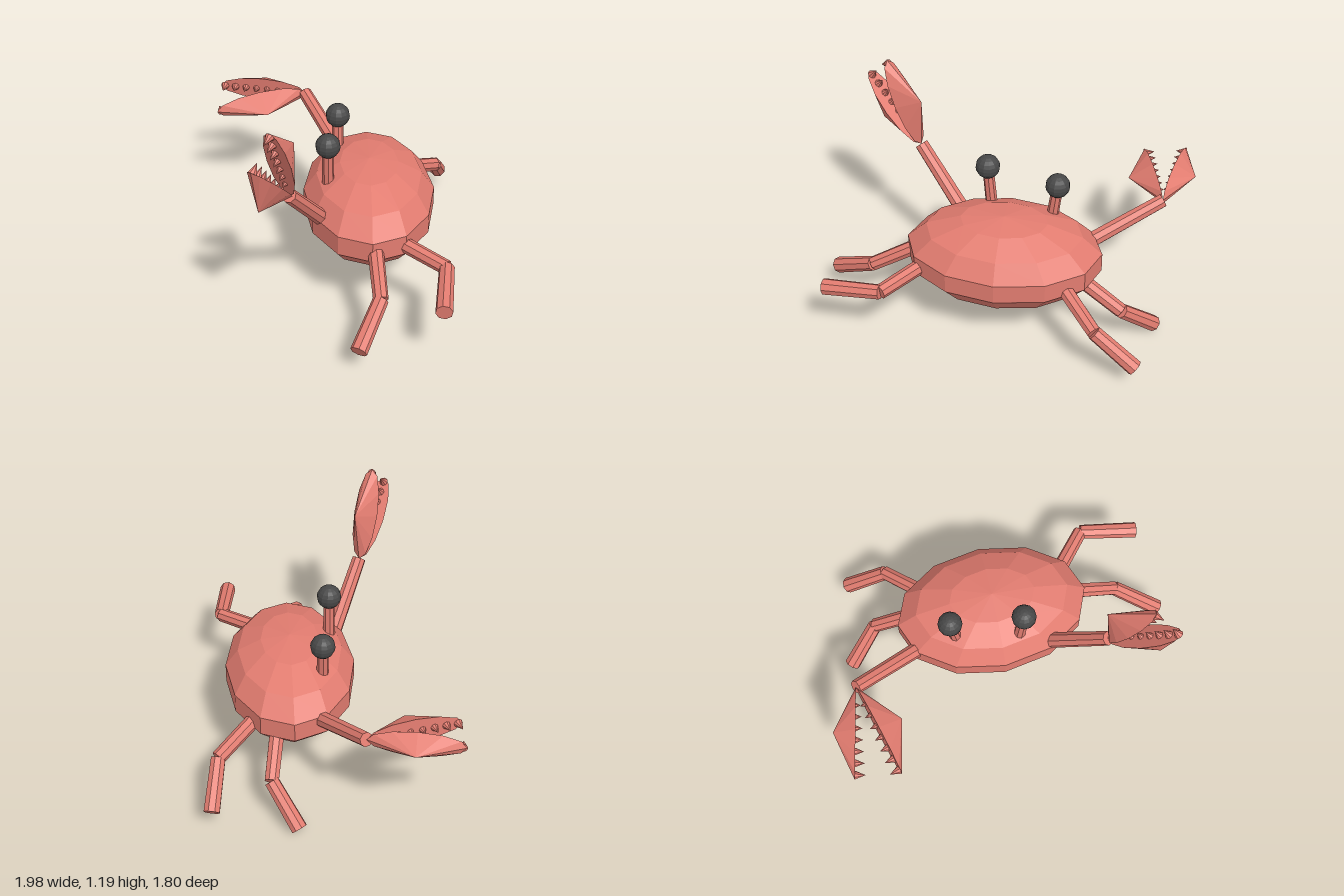
import * as THREE from 'three';

const shell = new THREE.MeshStandardMaterial({ color: 0xe27c70, flatShading: true });
const dark = new THREE.MeshStandardMaterial({ color: 0x484848, flatShading: true });
const V = (p) => new THREE.Vector3(...p);

function add(parent, name, geometry, material = shell) {
  const mesh = new THREE.Mesh(geometry, material);
  mesh.name = name;
  parent.add(mesh);
  return mesh;
}

// Straight limb segment between two points
function limb(parent, name, from, to, r0, r1) {
  const a = V(from), b = V(to), dir = b.clone().sub(a);
  const mesh = add(parent, name, new THREE.CylinderGeometry(r1, r0, dir.length(), 8));
  mesh.position.copy(a).add(b).multiplyScalar(0.5);
  mesh.quaternion.setFromUnitVectors(new THREE.Vector3(0, 1, 0), dir.normalize());
  return mesh;
}

// Claw half: a squashed cone whose oval base runs from wrist to tip, lined with teeth
function jaw(parent, name, wrist, tip, outer) {
  const w = V(wrist), t = V(tip);
  const group = new THREE.Group();
  group.name = name;
  const mid = w.clone().add(t).multiplyScalar(0.5);
  const x = t.clone().sub(w);
  const length = x.length();
  x.normalize();
  const y = V(outer).sub(mid);
  y.addScaledVector(x, -y.dot(x));
  const height = y.length();
  y.normalize();
  const z = new THREE.Vector3().crossVectors(x, y);
  group.quaternion.setFromRotationMatrix(new THREE.Matrix4().makeBasis(x, y, z));
  group.position.copy(mid);

  const cone = new THREE.ConeGeometry(1, 1, 12).translate(0, 0.5, 0);
  cone.scale(length / 2, height, 0.066);
  add(group, 'jawShell', cone);

  // Teeth grow toward the tip
  const count = 7;
  for (let i = 0; i < count; i++) {
    const k = i / (count - 1);
    const h = 0.028 + 0.027 * k;
    const tooth = add(group, 'tooth', new THREE.ConeGeometry(0.014 + 0.009 * k, h, 8));
    tooth.rotation.x = Math.PI;
    tooth.position.set((-0.6 + 1.5 * k) * length / 2, -h / 2 + 0.002, 0);
  }
  parent.add(group);
}

export function createModel() {
  const crab = new THREE.Group();
  crab.name = 'crab';

  // Faceted oval body, turned about the vertical axis
  const body = add(crab, 'body', new THREE.SphereGeometry(1, 12, 7));
  body.scale.set(0.506, 0.23, 0.338);
  body.rotation.y = -Math.atan2(0.76, 0.65);
  body.position.set(0.155, 0.41, -0.063);

  // Eyes on stalks
  const eyes = [
    { base: [-0.1, 0.5, -0.125], top: [-0.12, 0.745, -0.15] },
    { base: [0.06, 0.5, 0.143], top: [0.073, 0.783, 0.16] },
  ];
  for (const { base, top } of eyes) {
    limb(crab, 'eyeStalk', base, top, 0.031, 0.028);
    add(crab, 'eye', new THREE.SphereGeometry(0.062, 12, 10), dark).position.set(...top);
  }

  // Arms with claws
  const arms = [
    {
      shoulder: [-0.15, 0.4, -0.265], wrist: [-0.585, 0.588, -0.432],
      jaws: [
        { tip: [-0.995, 0.59, -0.2], outer: [-0.835, 0.6, -0.415] },
        { tip: [-0.855, 0.55, -0.02], outer: [-0.615, 0.56, -0.15] },
      ],
    },
    {
      shoulder: [0.135, 0.45, 0.28], wrist: [0.18, 0.75, 0.57],
      jaws: [
        { tip: [0.235, 1.19, 0.755], outer: [0.19, 1.03, 0.54] },
        { tip: [0.25, 1.065, 0.895], outer: [0.225, 0.81, 0.83] },
      ],
    },
  ];
  for (const { shoulder, wrist, jaws } of arms) {
    limb(crab, 'arm', shoulder, wrist, 0.041, 0.036);
    jaws.forEach(({ tip, outer }, i) => jaw(crab, i ? 'lowerJaw' : 'upperJaw', wrist, tip, outer));
  }

  // Walking legs: hip, knee, foot
  const legs = [
    [[0.48, 0.4, 0.14], [0.785, 0.37, 0.135], [0.95, 0.335, 0.383]],
    [[0.44, 0.42, 0.25], [0.62, 0.275, 0.43], [0.68, 0.145, 0.67]],
    [[0.08, 0.39, -0.4], [0.115, 0.28, -0.69], [0.01, 0.115, -0.875]],
    [[-0.03, 0.37, -0.4], [-0.15, 0.21, -0.605], [-0.35, 0.035, -0.645]],
  ];
  for (const [hip, knee, foot] of legs) {
    limb(crab, 'thigh', hip, knee, 0.039, 0.037);
    limb(crab, 'shin', knee, foot, 0.038, 0.042);
  }
  return crab;
}
